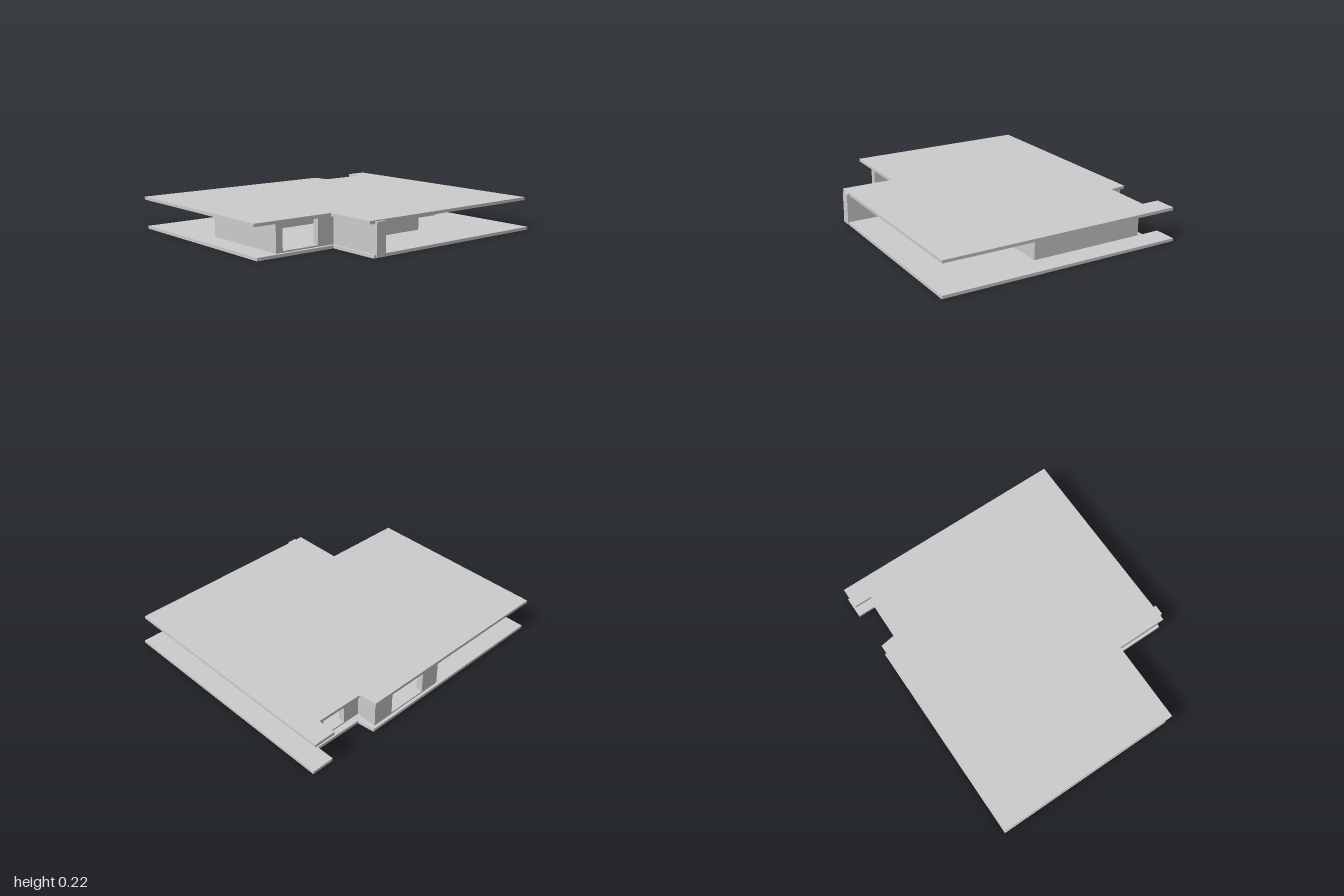
import * as THREE from 'three';

const mat = new THREE.MeshStandardMaterial({ color: 0xcccccc, flatShading: true });
const FLOOR = 0.02, CEILING = 0.205, T = 0.045;

// Horizontal plate from a plan outline of [x, z] points
function slab(name, plan, y, height) {
  const shape = new THREE.Shape(plan.map(([x, z]) => new THREE.Vector2(x, -z)));
  const geo = new THREE.ExtrudeGeometry(shape, { depth: height, bevelEnabled: false });
  geo.rotateX(-Math.PI / 2);
  const mesh = new THREE.Mesh(geo, mat);
  mesh.name = name;
  mesh.position.y = y;
  return mesh;
}

// Wall whose outer face runs from a to b; openings are [start, end] along it
function wall(name, [ax, az], [bx, bz], openings = []) {
  const length = Math.hypot(bx - ax, bz - az);
  const rect = (C, x0, x1, y0, y1) => new C([
    [x0, y0], [x1, y0], [x1, y1], [x0, y1],
  ].map(([x, y]) => new THREE.Vector2(x, y)));
  const shape = rect(THREE.Shape, 0, length, FLOOR, CEILING);
  for (const [s, e] of openings) shape.holes.push(rect(THREE.Path, s, e, 0.03, 0.197));
  const geo = new THREE.ExtrudeGeometry(shape, { depth: T, bevelEnabled: false });
  geo.translate(0, 0, -T);
  const mesh = new THREE.Mesh(geo, mat);
  mesh.name = name;
  mesh.position.set(ax, 0, az);
  mesh.rotation.y = Math.atan2(az - bz, bx - ax);
  return mesh;
}

function box(name, x0, x1, y0, y1, z0, z1) {
  const mesh = new THREE.Mesh(new THREE.BoxGeometry(x1 - x0, y1 - y0, z1 - z0), mat);
  mesh.name = name;
  mesh.position.set((x0 + x1) / 2, (y0 + y1) / 2, (z0 + z1) / 2);
  return mesh;
}

export function createModel() {
  const model = new THREE.Group();
  model.name = 'flatRoofHouse';

  // Floor and roof, each with a front corner cut away and a back notch
  model.add(slab('floorSlab', [
    [-0.98, 0.46], [-0.41, 0.465], [-0.41, 0.84], [1, 0.84], [1, -0.845],
    [0.845, -0.845], [0.845, -0.72], [0.515, -0.725], [0.5, -0.845], [-0.98, -0.845],
  ], 0, FLOOR));
  model.add(slab('roofSlab', [
    [-1, 0.46], [-0.43, 0.465], [-0.43, 0.825], [0.98, 0.825], [0.98, -0.845],
    [0.83, -0.845], [0.83, -0.72], [0.505, -0.725], [0.487, -0.845], [-1, -0.845],
  ], CEILING, 0.02));

  // Outer walls around the recessed plan
  const walls = new THREE.Group();
  walls.name = 'outerWalls';
  const plan = [
    ['frontWall', -0.83, 0.44, [[0.05, 0.32], [0.51, 0.595]]],
    ['angledFrontWall', 0.35, 0.44],
    ['frontSideWall', 0.58, 0.12],
    ['leftWall', 0.845, 0.12],
    ['backRecessWall', 0.845, -0.68, [[0.085, 0.255]]],
    ['backReturnWall', 0.47, -0.68],
    ['backWall', 0.47, -0.825, [[0.15, 0.43]]],
    ['backSideWall', -0.1, -0.825],
    ['rearCornerWall', -0.1, -0.23],
    ['rightWall', -0.83, -0.23],
  ];
  plan.forEach(([name, x, z, openings], i) => {
    const [, nx, nz] = plan[(i + 1) % plan.length];
    walls.add(wall(name, [x, z], [nx, nz], openings));
  });
  // Posts filling the two inward corners
  walls.add(box('cornerPost', 0.47 - T, 0.47, FLOOR, CEILING, -0.68, -0.68 + T));
  walls.add(box('cornerPost', -0.1, -0.1 + T, FLOOR, CEILING, -0.23, -0.23 + T));
  model.add(walls);

  // Thick fin wall projecting to the front edge
  model.add(box('finWall', -0.39, -0.32, 0.003, 0.218, 0.43, 0.845));
  return model;
}
